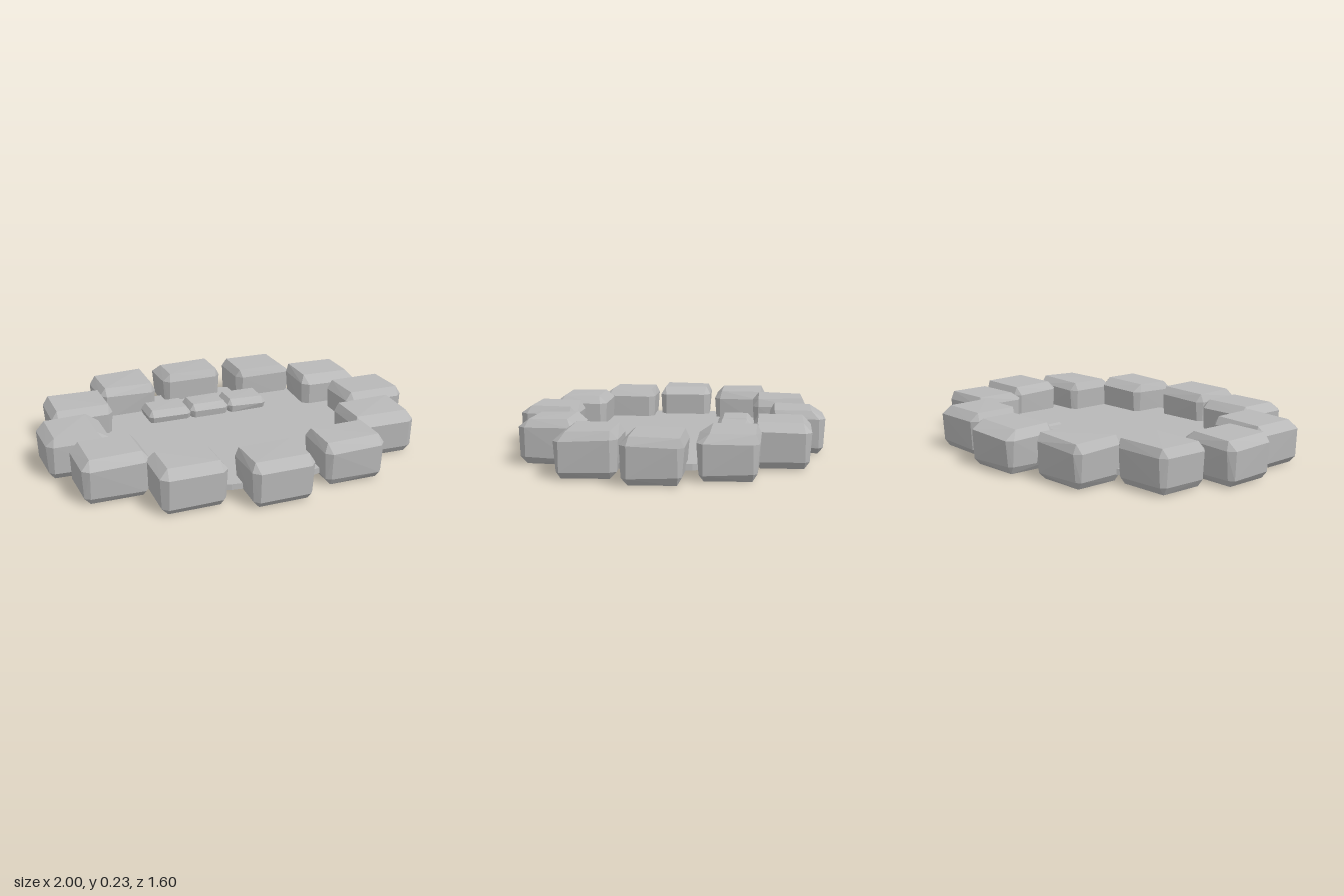
import * as THREE from 'three';
import { ConvexGeometry } from 'three/addons/geometries/ConvexGeometry.js';

const stone = new THREE.MeshStandardMaterial({ color: 0xb8b8b8 });
stone.name = 'greyStone';

// Small seeded generator, returning -1..1
let seed = 7;
const jitter = () => {
  seed = (seed * 16807) % 2147483647;
  return (seed / 2147483647) * 2 - 1;
};

// Bevelled, slightly irregular block.
// inset = how far the top face sits in from the left, right, back and front
function block(name, [x0, x1, z0, z1], [y0, y1], inset, bevel, rough) {
  const [l, r, b, f] = inset;
  const points = [];
  const add = (x, y, z) => points.push(new THREE.Vector3(x, y, z));
  for (const sx of [-1, 1]) for (const sz of [-1, 1]) {
    const x = sx < 0 ? x0 : x1, z = sz < 0 ? z0 : z1;
    const ix = (sx < 0 ? l : r) + 0.006, iz = (sz < 0 ? b : f) + 0.006;
    const j = rough * Math.abs(jitter()), k = rough * Math.abs(jitter());
    // top corner and the two shoulder points below it
    add(x - sx * ix, y1 - j * 0.7, z - sz * iz);
    add(x - sx * k * 0.5, y1 - bevel - j, z - sz * bevel * 0.9);
    add(x - sx * bevel * 0.9, y1 - bevel - j, z - sz * j * 0.5);
    // lower shoulder points and the bottom corner
    add(x - sx * (k + 0.005), y0 + bevel * 0.8 + k, z - sz * bevel * 0.9);
    add(x - sx * bevel * 0.9, y0 + bevel * 0.8 + k, z - sz * (j + 0.005));
    add(x - sx * bevel, y0 + k * 0.5, z - sz * bevel);
  }
  // keep one point on the floor of the block
  add((x0 + x1) / 2, y0, (z0 + z1) / 2);
  const mesh = new THREE.Mesh(new ConvexGeometry(points), stone);
  mesh.name = name;
  return mesh;
}

export function createModel() {
  const model = new THREE.Group();
  model.name = 'stoneRing';

  // Thin oval floor
  const floorGeometry = new THREE.CylinderGeometry(1, 1, 0.03, 24).toNonIndexed();
  floorGeometry.scale(0.82, 1, 0.64);
  floorGeometry.computeVertexNormals();
  const floor = new THREE.Mesh(floorGeometry, stone);
  floor.position.y = 0.055;
  floor.name = 'floor';
  model.add(floor);

  // Ring of twelve stones: x and z extents, then top face insets
  const ring = [
    [[-0.18, 0.17, -0.80, -0.51], [0.04, 0.02, 0.07, 0.02]],
    [[0.24, 0.58, -0.72, -0.43], [0.02, 0.05, 0.04, 0.02]],
    [[0.55, 0.88, -0.48, -0.18], [0.02, 0.03, 0.02, 0.06]],
    [[0.66, 1.00, -0.15, 0.15], [0.03, 0.02, 0.02, 0.04]],
    [[0.54, 0.88, 0.17, 0.48], [0.02, 0.02, 0.03, 0.06]],
    [[0.25, 0.58, 0.41, 0.71], [0.02, 0.02, 0.05, 0.05]],
    [[-0.17, 0.16, 0.50, 0.80], [0.02, 0.02, 0.03, 0.05]],
    [[-0.59, -0.25, 0.41, 0.71], [0.04, 0.03, 0.04, 0.05]],
    [[-0.90, -0.56, 0.17, 0.48], [0.04, 0.03, 0.02, 0.05]],
    [[-1.00, -0.67, -0.15, 0.15], [0.04, 0.06, 0.02, 0.02]],
    [[-0.90, -0.56, -0.48, -0.18], [0.03, 0.02, 0.02, 0.04]],
    [[-0.58, -0.25, -0.71, -0.41], [0.03, 0.02, 0.02, 0.03]],
  ];
  const stones = new THREE.Group();
  stones.name = 'ringStones';
  ring.forEach(([extent, inset], i) =>
    stones.add(block(`ringStone${i + 1}`, extent, [0, 0.23], inset, 0.04, 0.015)));
  model.add(stones);

  // Row of three low stones inside the ring
  const row = [
    [-0.36, -0.11, -0.42, -0.22],
    [-0.12, 0.11, -0.42, -0.22],
    [0.10, 0.34, -0.42, -0.22],
  ];
  const innerRow = new THREE.Group();
  innerRow.name = 'innerRow';
  row.forEach((extent, i) =>
    innerRow.add(block(`innerStone${i + 1}`, extent, [0.038, 0.14],
      [0.02, 0.02, 0.03, 0.03], 0.03, 0.01)));
  model.add(innerRow);

  return model;
}
